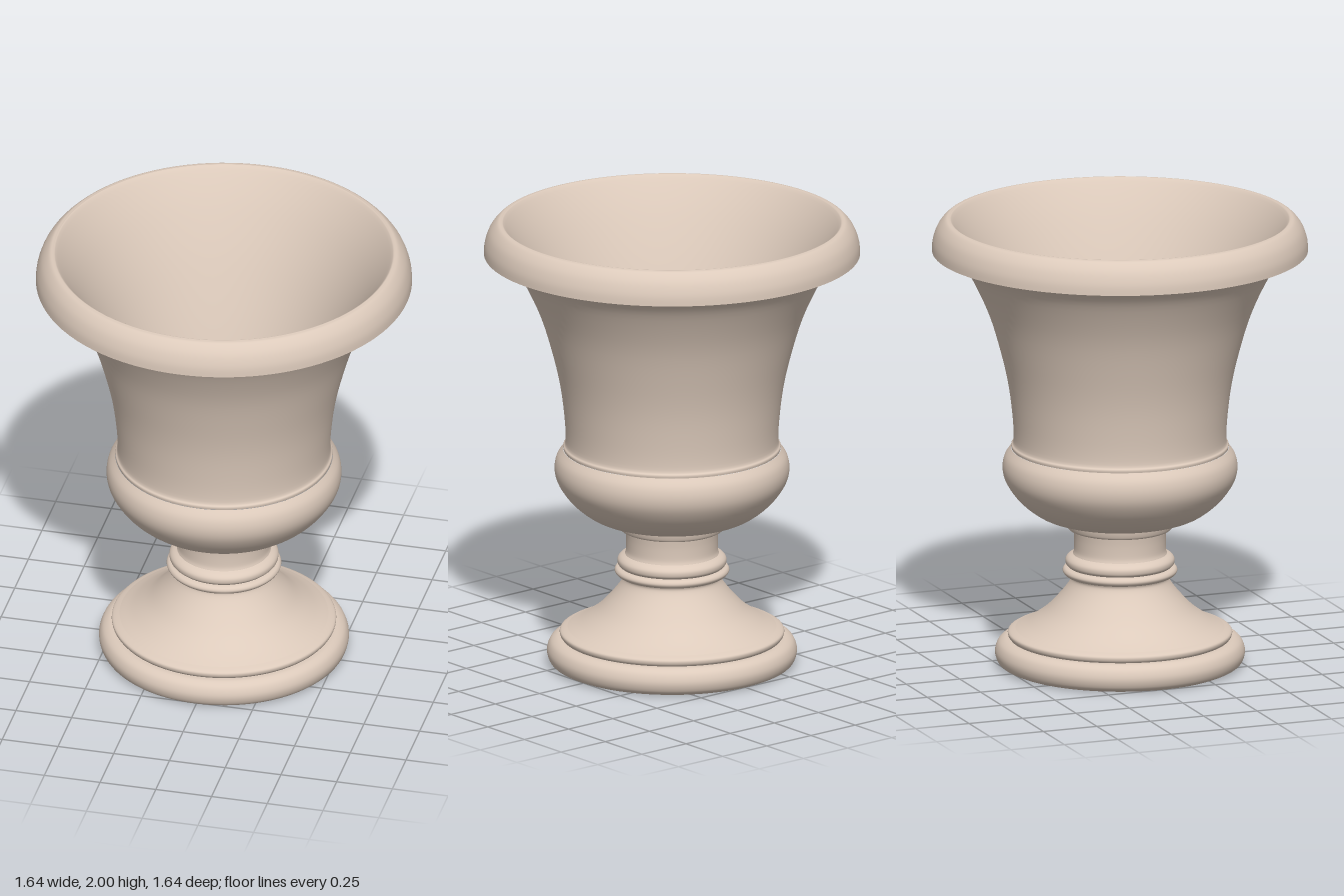
import * as THREE from 'three';

const SEGMENTS = 96;

export function createModel() {
  const stone = new THREE.MeshStandardMaterial({ color: 0xdccabb });
  stone.name = 'warm stone';
  const urn = new THREE.Group();
  urn.name = 'urn';

  // Turn a smooth [radius, height] profile around y; separate parts keep crisp edges between them
  const turn = (name, profile, samples = 4) => {
    const pts = profile.map(([r, y]) => new THREE.Vector2(r, y));
    const line = new THREE.SplineCurve(pts).getPoints((pts.length - 1) * samples);
    line.forEach((p) => { p.x = Math.max(p.x, 0); });
    const mesh = new THREE.Mesh(new THREE.LatheGeometry(line, SEGMENTS), stone);
    mesh.name = name;
    urn.add(mesh);
  };

  // Foot: hollow underside, rounded plinth, small step and sweeping cone
  turn('footHollow', [[0, 0.19], [0.12, 0.165], [0.3, 0.09], [0.5, 0]]);
  turn('plinth', [[0.5, 0], [0.532, 0.018], [0.545, 0.06], [0.532, 0.1], [0.505, 0.12], [0.48, 0.123]]);
  turn('footStep', [[0.48, 0.123], [0.488, 0.135], [0.486, 0.152], [0.455, 0.165]]);
  turn('footCone', [[0.455, 0.165], [0.4, 0.193], [0.33, 0.243], [0.27, 0.305], [0.23, 0.355],
    [0.213, 0.385], [0.215, 0.4]]);

  // Stem: two beads, plain shaft and collar
  turn('lowerBead', [[0.215, 0.4], [0.238, 0.406], [0.25, 0.422], [0.243, 0.437], [0.225, 0.443]]);
  turn('upperBead', [[0.225, 0.443], [0.236, 0.455], [0.237, 0.475], [0.225, 0.49], [0.205, 0.5]]);
  turn('shaft', [[0.205, 0.5], [0.2, 0.52], [0.2, 0.57], [0.203, 0.608]]);
  turn('collar', [[0.203, 0.608], [0.225, 0.613], [0.233, 0.63], [0.237, 0.65]]);

  // Bulging lower bowl
  turn('lowerBowl', [[0.225, 0.65], [0.28, 0.655], [0.36, 0.683], [0.44, 0.745], [0.495, 0.82],
    [0.512, 0.88], [0.503, 0.935], [0.475, 0.975]]);

  // Flared body, from its narrow bead out to the underside of the lip
  turn('body', [[0.473, 0.975], [0.474, 0.988], [0.464, 1.008], [0.467, 1.1], [0.485, 1.25],
    [0.518, 1.4], [0.572, 1.58], [0.645, 1.74], [0.695, 1.815], [0.74, 1.85], [0.785, 1.858], [0.82, 1.86]]);

  // Overhanging lip, rolling over into the interior and down to its floor
  turn('lipAndInterior', [[0.82, 1.86], [0.816, 1.905], [0.798, 1.955], [0.77, 1.99], [0.748, 2],
    [0.725, 1.985], [0.64, 1.85], [0.545, 1.66], [0.455, 1.44], [0.385, 1.24],
    [0.33, 1.05], [0.29, 0.95], [0.22, 0.88], [0.11, 0.84], [0, 0.83]]);

  return urn;
}
